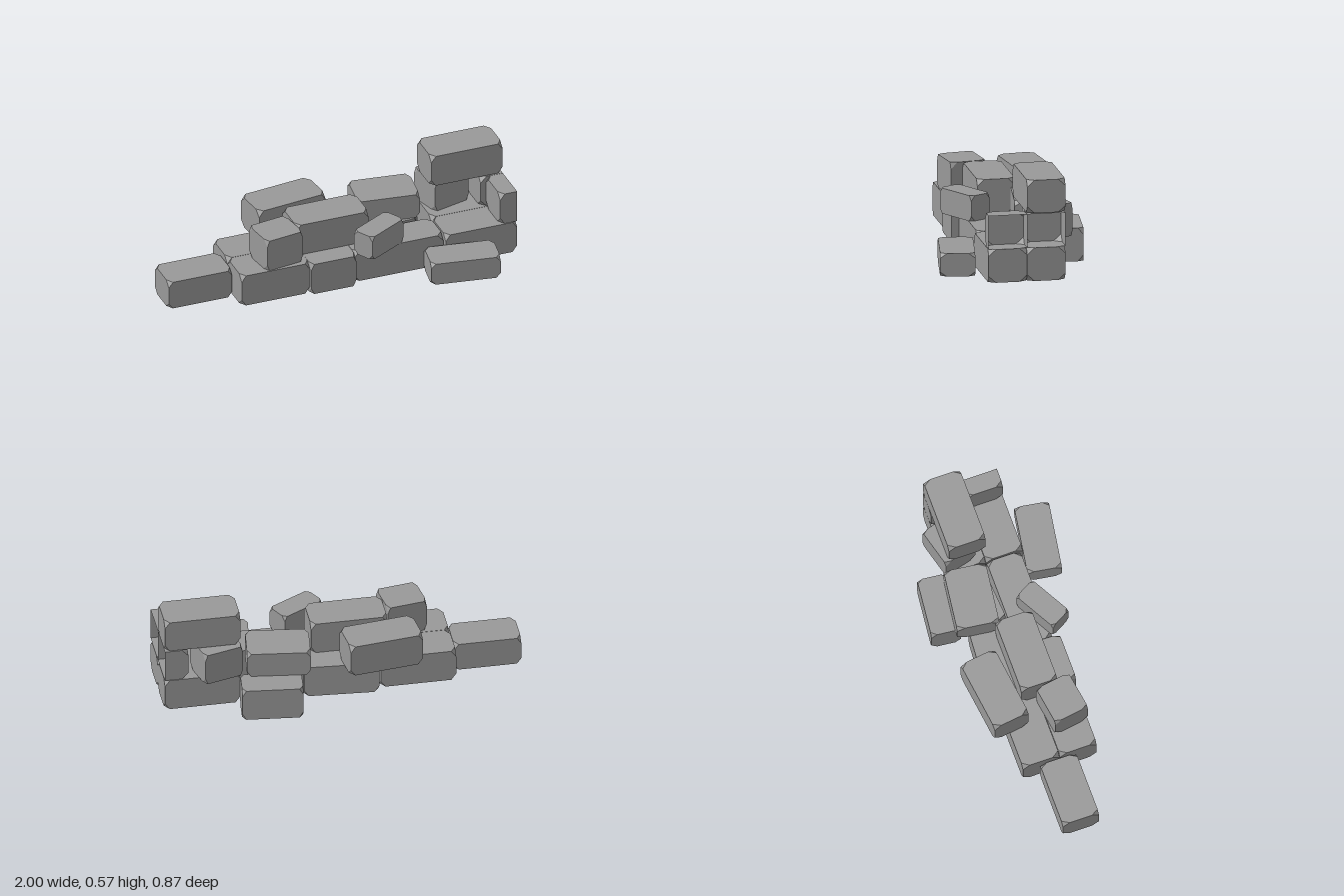
import * as THREE from 'three';
import { ConvexGeometry } from 'three/addons/geometries/ConvexGeometry.js';

// Unit block with corners cut off at both ends, or only at the -x end
function chippedBlock(cx, bothEnds) {
  const cy = 0.2, cz = 0.19, pts = [];
  for (const x of [-0.5, 0.5]) for (const y of [-0.5, 0.5]) for (const z of [-0.5, 0.5]) {
    if (x > 0 && !bothEnds) {
      pts.push(new THREE.Vector3(x, y, z));
      continue;
    }
    pts.push(new THREE.Vector3(x - Math.sign(x) * cx, y, z));
    pts.push(new THREE.Vector3(x, y - Math.sign(y) * cy, z));
    pts.push(new THREE.Vector3(x, y, z - Math.sign(z) * cz));
  }
  return new ConvexGeometry(pts);
}

// Sliced block: the +x end is left open
function openBlock() {
  const solid = chippedBlock(0.27, false);
  const p = solid.attributes.position;
  const kept = [];
  for (let i = 0; i < p.count; i += 3) {
    if (Math.min(p.getX(i), p.getX(i + 1), p.getX(i + 2)) > 0.499) continue;
    for (let k = i; k < i + 3; k++) kept.push(p.getX(k), p.getY(k), p.getZ(k));
  }
  const geometry = new THREE.BufferGeometry();
  geometry.setAttribute('position', new THREE.Float32BufferAttribute(kept, 3));
  geometry.computeVertexNormals();
  return geometry;
}

export function createModel() {
  const group = new THREE.Group();
  const whole = chippedBlock(0.065, true);
  const half = openBlock();
  const material = new THREE.MeshStandardMaterial({
    color: 0x999999, flatShading: true, side: THREE.DoubleSide,
  });

  // centre x, z, length, depth, base y, top y, turn about y
  const brick = (name, x, z, length, depth, y0, y1, turn = 0, geometry = whole) => {
    const mesh = new THREE.Mesh(geometry, material);
    mesh.name = name;
    mesh.position.set(x, (y0 + y1) / 2, z);
    mesh.scale.set(length, y1 - y0, depth);
    mesh.rotation.y = turn;
    group.add(mesh);
  };

  // Ground course
  brick('endBrick', -0.814, -0.024, 0.372, 0.21, 0, 0.165);
  brick('baseFrontRight', -0.42, 0.097, 0.4, 0.213, 0.003, 0.19);
  brick('baseBackRight', -0.41, -0.118, 0.42, 0.213, 0.003, 0.19);
  brick('baseFrontMiddle', -0.087, 0.119, 0.265, 0.214, 0.003, 0.19);
  brick('baseBackMiddle', 0.015, -0.147, 0.415, 0.21, 0.003, 0.19, -0.07);
  brick('baseHiddenMiddle', 0.365, -0.125, 0.27, 0.2, 0.003, 0.19, 0.07);
  brick('baseFrontLong', 0.31, 0.088, 0.525, 0.195, 0.003, 0.19);
  brick('baseBackLoose', 0.427, -0.337, 0.335, 0.167, 0.003, 0.19, -0.105);
  brick('baseFrontLeft', 0.79, 0.097, 0.42, 0.213, 0.003, 0.19);
  brick('baseBackLeft', 0.79, -0.118, 0.42, 0.213, 0.003, 0.19);
  brick('fallenBrick', 0.634, 0.312, 0.388, 0.192, 0.005, 0.134, -0.155);

  // Second course
  brick('upperFrontRight', -0.374, 0.09, 0.225, 0.2, 0.193, 0.38, 0.15);
  brick('upperBackRight', -0.2, -0.239, 0.415, 0.208, 0.193, 0.38, 0.125);
  brick('upperMiddle', -0.047, 0, 0.425, 0.21, 0.193, 0.38);
  brick('upperFrontLoose', 0.195, 0.181, 0.267, 0.13, 0.19, 0.333, 0.505);
  brick('upperBackMiddle', 0.363, -0.172, 0.348, 0.236, 0.193, 0.337, -0.127);
  brick('upperBackTurned', 0.705, -0.18, 0.228, 0.197, 0.193, 0.38, 0.26);
  brick('upperFrontHalf', 0.95, 0.097, 0.1, 0.213, 0.193, 0.38, 0, half);
  brick('upperBackHalf', 0.935, -0.118, 0.13, 0.213, 0.193, 0.38, 0, half);

  // Top course
  brick('topBrick', 0.79, -0.118, 0.42, 0.213, 0.385, 0.57);

  return group;
}
